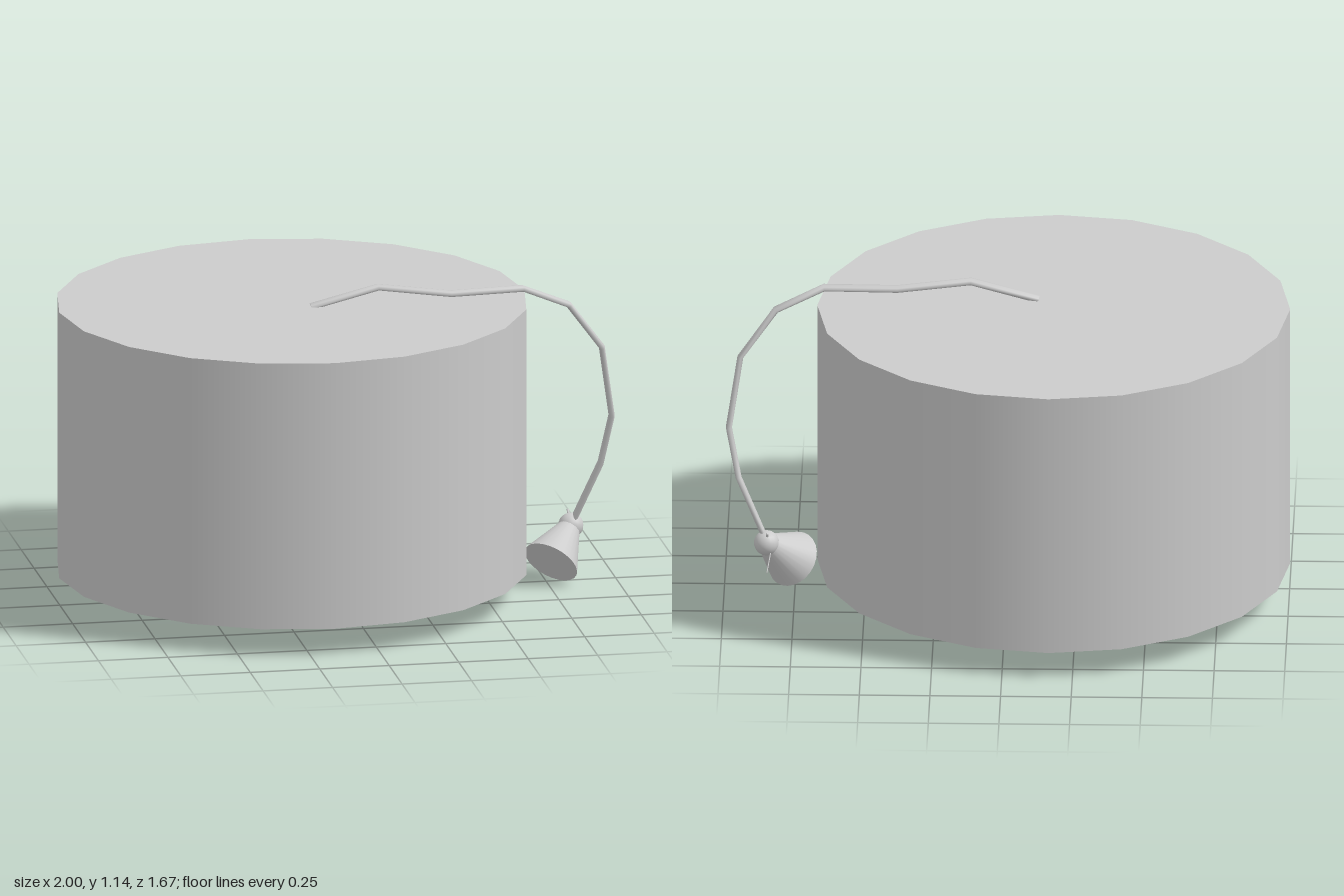
import * as THREE from 'three';

const V = (x, y, z) => new THREE.Vector3(x, y, z);
const SIDES = 20, CX = -0.165, R_OUT = 0.837, R_IN = 0.8;
const Y_RIM = 0.1, Y_CEILING = 0.67, Y_TOP = 1.075;

// Flat ribbon-like cord: an elliptical section swept along the points, wide across z
function cordGeometry(points, halfWidth, halfThick, sides) {
  const pos = [], index = [];
  points.forEach((p, i) => {
    const before = points[Math.max(i - 1, 0)], after = points[Math.min(i + 1, points.length - 1)];
    const tangent = after.clone().sub(before).normalize();
    const normal = V(0, 0, 1).cross(tangent).normalize();
    const across = tangent.clone().cross(normal);
    for (let j = 0; j < sides; j++) {
      const a = (j / sides) * Math.PI * 2;
      const v = p.clone().addScaledVector(normal, Math.cos(a) * halfThick)
        .addScaledVector(across, Math.sin(a) * halfWidth);
      pos.push(v.x, v.y, v.z);
    }
  });
  const last = (points.length - 1) * sides;
  for (let i = 0; i < points.length - 1; i++) {
    for (let j = 0; j < sides; j++) {
      const k = (j + 1) % sides;
      const a = i * sides + j, b = i * sides + k, c = a + sides, d = b + sides;
      index.push(a, b, c, b, d, c);
    }
  }
  for (let j = 1; j < sides - 1; j++) {
    index.push(0, j + 1, j, last, last + j, last + j + 1);
  }
  const g = new THREE.BufferGeometry();
  g.setAttribute('position', new THREE.Float32BufferAttribute(pos, 3));
  g.setIndex(index);
  g.computeVertexNormals();
  return g;
}

// Cylinder or cone running from one point to another
function rod(from, to, rFrom, rTo, sides) {
  const dir = to.clone().sub(from);
  const g = new THREE.CylinderGeometry(rTo, rFrom, dir.length(), sides);
  g.applyQuaternion(new THREE.Quaternion().setFromUnitVectors(V(0, 1, 0), dir.clone().normalize()));
  const mid = from.clone().add(to).multiplyScalar(0.5);
  return g.translate(mid.x, mid.y, mid.z);
}

export function createModel() {
  const model = new THREE.Group();
  model.name = 'tasselHat';
  const grey = new THREE.MeshStandardMaterial({ color: 0xcccccc });
  const inside = new THREE.MeshStandardMaterial({ color: 0xcccccc, flatShading: true, side: THREE.BackSide });
  const thin = new THREE.MeshStandardMaterial({ color: 0xcccccc, side: THREE.DoubleSide });
  const add = (parent, name, geometry, material = grey) => {
    const mesh = new THREE.Mesh(geometry, material);
    mesh.name = name;
    parent.add(mesh);
    return mesh;
  };

  // Hat: smooth outer wall, faceted lining, flat top, recessed ceiling and rim
  const hat = new THREE.Group();
  hat.name = 'hat';
  hat.position.x = CX;
  model.add(hat);
  const wall = (r, y0, y1) =>
    new THREE.CylinderGeometry(r, r, y1 - y0, SIDES, 1, true).translate(0, (y0 + y1) / 2, 0);
  add(hat, 'outerWall', wall(R_OUT, Y_RIM, Y_TOP));
  add(hat, 'innerWall', wall(R_IN, Y_RIM, Y_CEILING), inside);
  add(hat, 'top', new THREE.CircleGeometry(R_OUT, SIDES).rotateX(-Math.PI / 2).translate(0, Y_TOP, 0));
  add(hat, 'ceiling', new THREE.CircleGeometry(R_IN, SIDES).rotateX(Math.PI / 2).translate(0, Y_CEILING, 0));
  add(hat, 'rim', new THREE.RingGeometry(R_IN, R_OUT, SIDES).rotateX(Math.PI / 2).translate(0, Y_RIM, 0));

  // Tassel: cord over the edge, knot, flared skirt and a loose thread
  const tassel = new THREE.Group();
  tassel.name = 'tassel';
  model.add(tassel);
  const knot = V(0.85, 0.185, -0.06);
  const cordPath = [
    V(-0.11, 1.073, 0.075), V(0.13, 1.135, 0.085), V(0.39, 1.1, 0.093), V(0.65, 1.105, 0.088),
    V(0.82, 1.03, 0.06), V(0.945, 0.86, 0.03), V(0.985, 0.6, 0.005), V(0.95, 0.42, -0.022),
    V(0.855, 0.2, -0.053),
  ];
  add(tassel, 'cord', cordGeometry(cordPath, 0.024, 0.011, 8), thin);
  add(tassel, 'knot', new THREE.SphereGeometry(0.045, 16, 12).translate(knot.x, knot.y, knot.z));
  add(tassel, 'skirt', rod(knot, V(0.76, 0.082, 0.04), 0.035, 0.102, 24));
  add(tassel, 'looseThread', rod(V(0.835, 0.16, -0.09), V(0.845, 0.143, -0.235), 0.002, 0.002, 5));
  add(tassel, 'cordEnd', rod(V(0.85, 0.2, -0.07), V(0.845, 0.235, -0.095), 0.008, 0.004, 6));

  return model;
}
